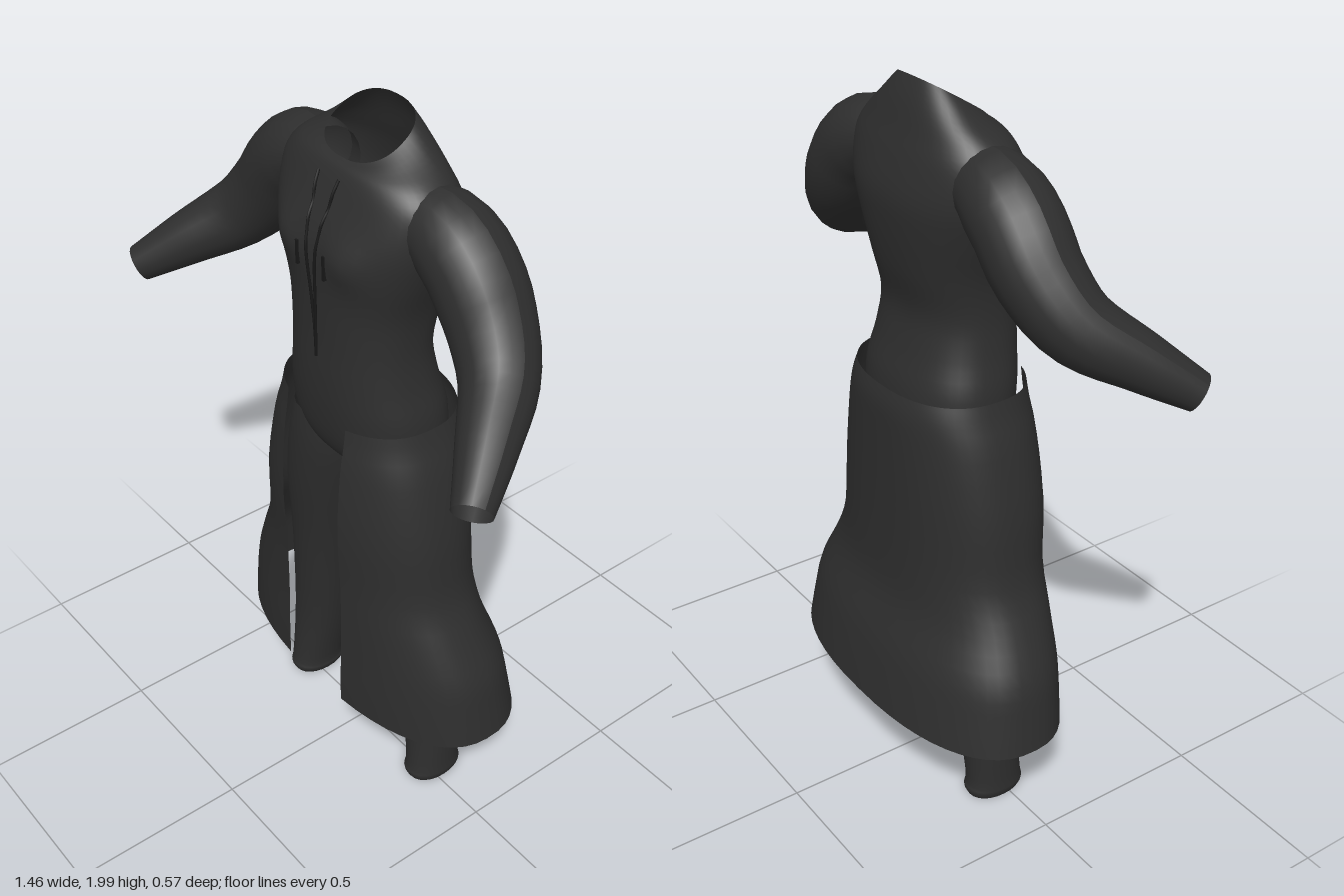
import * as THREE from 'three';

const fabric = new THREE.MeshStandardMaterial({ color: 0x2e2e2e, side: THREE.DoubleSide });
fabric.name = 'charcoal fabric';
const seam = new THREE.MeshStandardMaterial({ color: 0x181818, side: THREE.DoubleSide });
seam.name = 'dark seam';

// Smoothly subdivide a list of cross-sections.
function refine(rows, steps) {
  const out = [];
  const at = (i) => rows[Math.min(Math.max(i, 0), rows.length - 1)];
  for (let i = 0; i < rows.length - 1; i++) {
    for (let s = 0; s < steps; s++) {
      const t = s / steps;
      out.push(rows[i].map((b, k) => {
        const a = at(i - 1)[k], c = at(i + 1)[k], d = at(i + 2)[k];
        return b + 0.5 * t * (c - a + t * (2 * a - 5 * b + 4 * c - d + t * (3 * (b - c) + d - a)));
      }));
    }
  }
  out.push(rows[rows.length - 1]);
  return out;
}

// Loft rows [y, centreX, halfWidth, zFront, zBack, tilt], listed bottom to top.
// A slit leaves the front open to that half width.
function loft(rows, { sides = 36, power = 0.85, slit = 0, bump = () => 0 } = {}) {
  const pos = [], idx = [];
  const n = slit ? sides + 1 : sides;
  const curve = (v) => Math.sign(v) * Math.abs(v) ** power;
  for (const [y, cx, w, zf, zb, tilt] of rows) {
    const a0 = slit ? Math.asin((slit / w) ** (1 / power)) : 0;
    for (let j = 0; j < n; j++) {
      const a = a0 + (j / sides) * (2 * Math.PI - 2 * a0);
      const x = cx + w * curve(Math.sin(a));
      let z = (zf + zb) / 2 + ((zf - zb) / 2) * curve(Math.cos(a));
      const py = y - tilt * z;
      if (Math.cos(a) > 0) z += bump(x, py);
      pos.push(x, py, z);
    }
  }
  for (let i = 0; i < rows.length - 1; i++) {
    for (let j = 0; j < sides; j++) {
      const k = (j + 1) % n;
      const a = i * n + j, b = i * n + k, c = a + n, d = b + n;
      idx.push(a, b, c, b, d, c);
    }
  }
  const g = new THREE.BufferGeometry();
  g.setAttribute('position', new THREE.Float32BufferAttribute(pos, 3));
  g.setIndex(idx);
  g.computeVertexNormals();
  return g;
}

// Round sleeve whose radius changes along its path.
function sleeve(side, points, radii) {
  const path = new THREE.CatmullRomCurve3(points.map(([x, y, z]) => new THREE.Vector3(x * side, y, z)));
  const segs = 20, sides = 20;
  const g = new THREE.TubeGeometry(path, segs, 1, sides);
  const p = g.attributes.position, v = new THREE.Vector3();
  for (let i = 0; i <= segs; i++) {
    const u = (i / segs) * (radii.length - 1), k = Math.min(Math.floor(u), radii.length - 2);
    const r = THREE.MathUtils.lerp(radii[k], radii[k + 1], u - k);
    const c = path.getPointAt(i / segs);
    for (let j = 0; j <= sides; j++) {
      const q = i * (sides + 1) + j;
      v.fromBufferAttribute(p, q).sub(c).multiplyScalar(r).add(c);
      p.setXYZ(q, v.x, v.y, v.z);
    }
  }
  g.computeVertexNormals();
  return g;
}

export function createModel() {
  const model = new THREE.Group();
  const add = (name, geometry, material = fabric) => {
    const mesh = new THREE.Mesh(geometry, material);
    mesh.name = name;
    model.add(mesh);
    return mesh;
  };

  // Bodice, from the crotch up to the tilted open collar
  const torsoRows = refine([
    [1.02, 0, 0.05, 0.05, -0.06, 0],
    [1.06, 0, 0.16, 0.11, -0.13, 0],
    [1.12, 0, 0.225, 0.14, -0.165, 0],
    [1.22, 0, 0.23, 0.155, -0.165, 0],
    [1.32, 0, 0.21, 0.16, -0.14, 0],
    [1.42, 0, 0.2, 0.16, -0.125, 0],
    [1.53, 0, 0.21, 0.163, -0.15, 0],
    [1.64, 0, 0.245, 0.168, -0.168, 0],
    [1.73, 0, 0.27, 0.16, -0.174, 0],
    [1.82, 0, 0.275, 0.128, -0.155, 0],
    [1.875, 0, 0.235, 0.108, -0.135, 0.06],
    [1.915, 0, 0.17, 0.095, -0.115, 0.3],
    [1.945, 0, 0.12, 0.08, -0.09, 0.62],
  ], 4);
  const bump = (x, y) => 0.018 * Math.exp(-(((Math.abs(x) - 0.11) / 0.06) ** 2) - ((y - 1.68) / 0.055) ** 2);
  add('bodice', loft(torsoRows, { sides: 48, bump }));

  // Depth of the bodice front at a given height
  const frontZ = (y) => {
    let best = torsoRows[0];
    for (const r of torsoRows) {
      if (Math.abs(r[0] - r[5] * r[3] - y) < Math.abs(best[0] - best[5] * best[3] - y)) best = r;
    }
    return best[3];
  };

  for (const side of [1, -1]) {
    const label = side > 0 ? 'left' : 'right';

    add(label + 'Sleeve', sleeve(side, [
      [0.17, 1.785, -0.015], [0.26, 1.775, -0.025], [0.34, 1.725, -0.028], [0.42, 1.625, -0.022],
      [0.505, 1.525, 0.02], [0.6, 1.44, 0.135], [0.685, 1.36, 0.25],
    ], [0.09, 0.113, 0.113, 0.102, 0.088, 0.07, 0.05]));

    add(label + 'TrouserLeg', loft(refine([
      [0.01, 0.28, 0.055, 0.06, -0.1, 0],
      [0.03, 0.279, 0.063, 0.068, -0.107, 0],
      [0.07, 0.278, 0.063, 0.06, -0.1, 0],
      [0.28, 0.257, 0.084, 0.052, -0.11, 0],
      [0.6, 0.213, 0.1, 0.08, -0.115, 0],
      [0.85, 0.172, 0.122, 0.115, -0.14, 0],
      [1.02, 0.135, 0.125, 0.13, -0.155, 0],
      [1.14, 0.115, 0.105, 0.13, -0.15, 0],
    ].map((r) => [r[0], r[1] * side, ...r.slice(2)]), 3), { sides: 24, power: 0.92 }));

    // Neckline opening edges, narrowing to the waist
    const edge = [];
    for (let i = 0; i <= 14; i++) {
      const t = i / 14, y = 1.86 - 0.48 * t;
      edge.push(new THREE.Vector3(side * 0.038 * (1 - t) ** 1.6, y, frontZ(y) + 0.002 + bump(0.03, y)));
    }
    add(label + 'PlacketEdge', new THREE.TubeGeometry(new THREE.CatmullRomCurve3(edge), 28, 0.004, 6), seam);

    // Short chest fold
    const fold = add(label + 'ChestFold', new THREE.BoxGeometry(0.008, 0.065, 0.008), seam);
    fold.position.set(side * 0.052, 1.655, 0.172);
  }

  // Open-fronted flared skirt
  add('skirt', loft(refine([
    [0.285, 0, 0.49, 0.195, -0.285, 0],
    [0.38, 0, 0.475, 0.195, -0.27, 0],
    [0.48, 0, 0.455, 0.192, -0.25, 0],
    [0.6, 0, 0.4, 0.192, -0.212, 0],
    [0.72, 0, 0.35, 0.195, -0.203, 0],
    [0.9, 0, 0.332, 0.203, -0.202, 0],
    [1.08, 0, 0.295, 0.195, -0.204, 0],
    [1.17, 0, 0.265, 0.185, -0.204, 0],
    [1.22, 0, 0.25, 0.18, -0.192, 0],
  ], 3), { sides: 48, slit: 0.12 }));

  return model;
}
